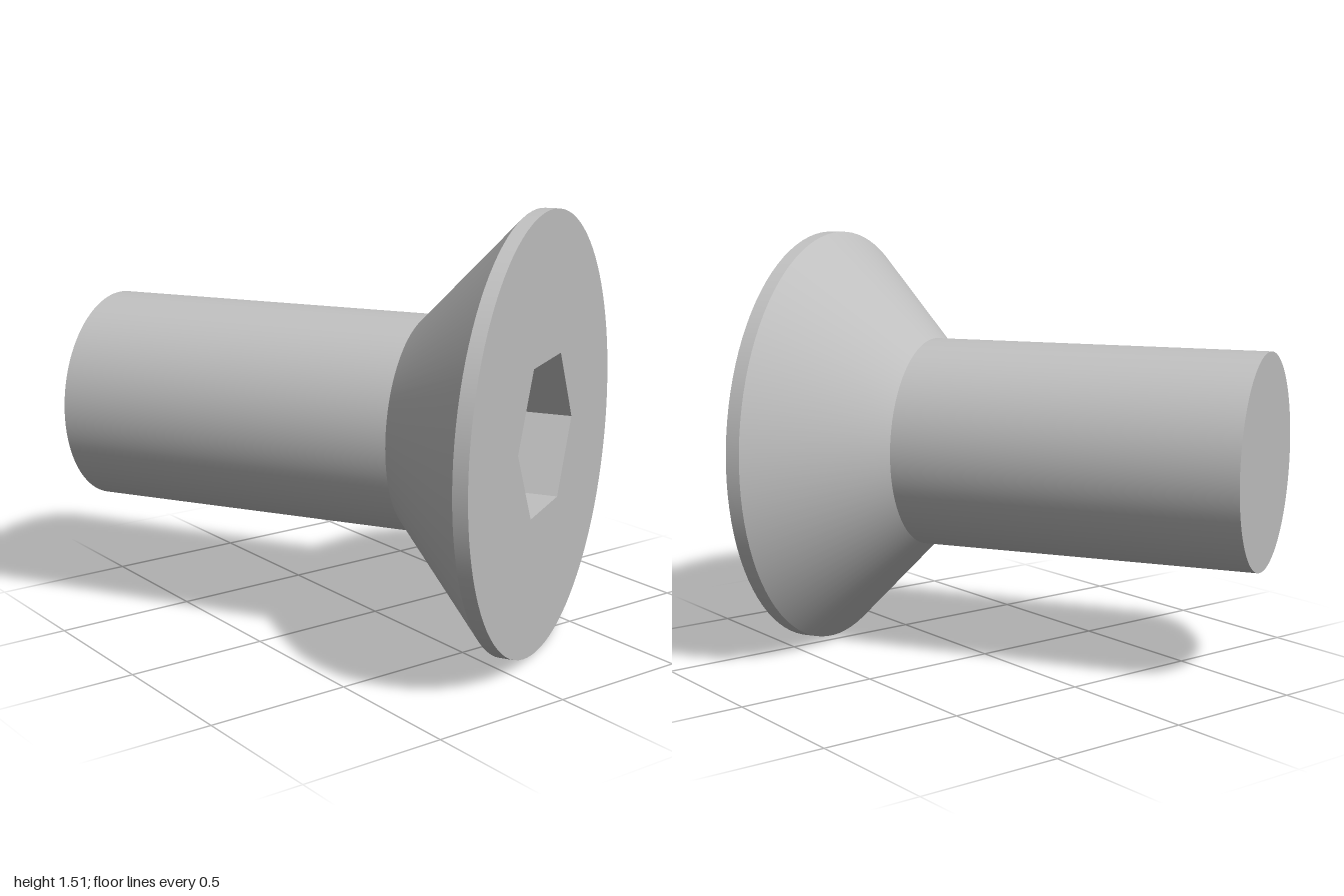
import * as THREE from 'three';

export function createModel() {
  const steel = new THREE.MeshStandardMaterial({ color: 0xc0c0c0 });
  steel.name = 'steel grey';

  // Screw axis is local +z: tail at z = 0, head face at z = LENGTH
  const LENGTH = 1.653, SHANK = 1.228, RIM = 0.05;
  const SHANK_R = 0.375, HEAD_R = 0.7535;
  const HEX_R = 0.293, HEX_DEPTH = 0.3, SEGMENTS = 96;

  const screw = new THREE.Group();
  screw.name = 'countersunkScrew';
  const add = (name, geometry, parent = screw) => {
    const mesh = new THREE.Mesh(geometry, steel);
    mesh.name = name;
    parent.add(mesh);
    return mesh;
  };

  // Open round section between two stations on the axis
  const section = (r0, r1, z0, z1) =>
    new THREE.CylinderGeometry(r1, r0, z1 - z0, SEGMENTS, 1, true)
      .rotateX(Math.PI / 2)
      .translate(0, 0, (z0 + z1) / 2);

  add('shank', section(SHANK_R, SHANK_R, 0, SHANK));
  add('tailFace', new THREE.CircleGeometry(SHANK_R, SEGMENTS).rotateY(Math.PI));
  add('headCone', section(SHANK_R, HEAD_R, SHANK, LENGTH - RIM));
  add('headRim', section(HEAD_R, HEAD_R, LENGTH - RIM, LENGTH));

  // Head face with the hexagonal opening
  const hexPoints = Array.from({ length: 6 }, (_, i) =>
    new THREE.Vector2(HEX_R * Math.cos(i * Math.PI / 3), HEX_R * Math.sin(i * Math.PI / 3)));
  const face = new THREE.Shape().absarc(0, 0, HEAD_R, 0, Math.PI * 2);
  face.holes.push(new THREE.Path(hexPoints));
  add('headFace', new THREE.ShapeGeometry(face, SEGMENTS / 2).translate(0, 0, LENGTH));

  // Hex socket: six inward-facing walls and a flat floor
  const socket = new THREE.Group();
  socket.name = 'hexSocket';
  screw.add(socket);
  const apothem = HEX_R * Math.cos(Math.PI / 6);
  for (let i = 0; i < 6; i++) {
    add('socketWall', new THREE.PlaneGeometry(HEX_R, HEX_DEPTH)
      .rotateX(-Math.PI / 2)
      .translate(0, -apothem, LENGTH - HEX_DEPTH / 2)
      .rotateZ(i * Math.PI / 3), socket);
  }
  add('socketFloor', new THREE.ShapeGeometry(new THREE.Shape(hexPoints))
    .translate(0, 0, LENGTH - HEX_DEPTH), socket);

  // Lay the screw level, head turned to the back left
  screw.rotation.y = Math.PI * 2 / 3;
  screw.position.set(-0.811, HEAD_R, 0.576);

  const model = new THREE.Group();
  model.name = 'screwModel';
  model.add(screw);
  return model;
}
